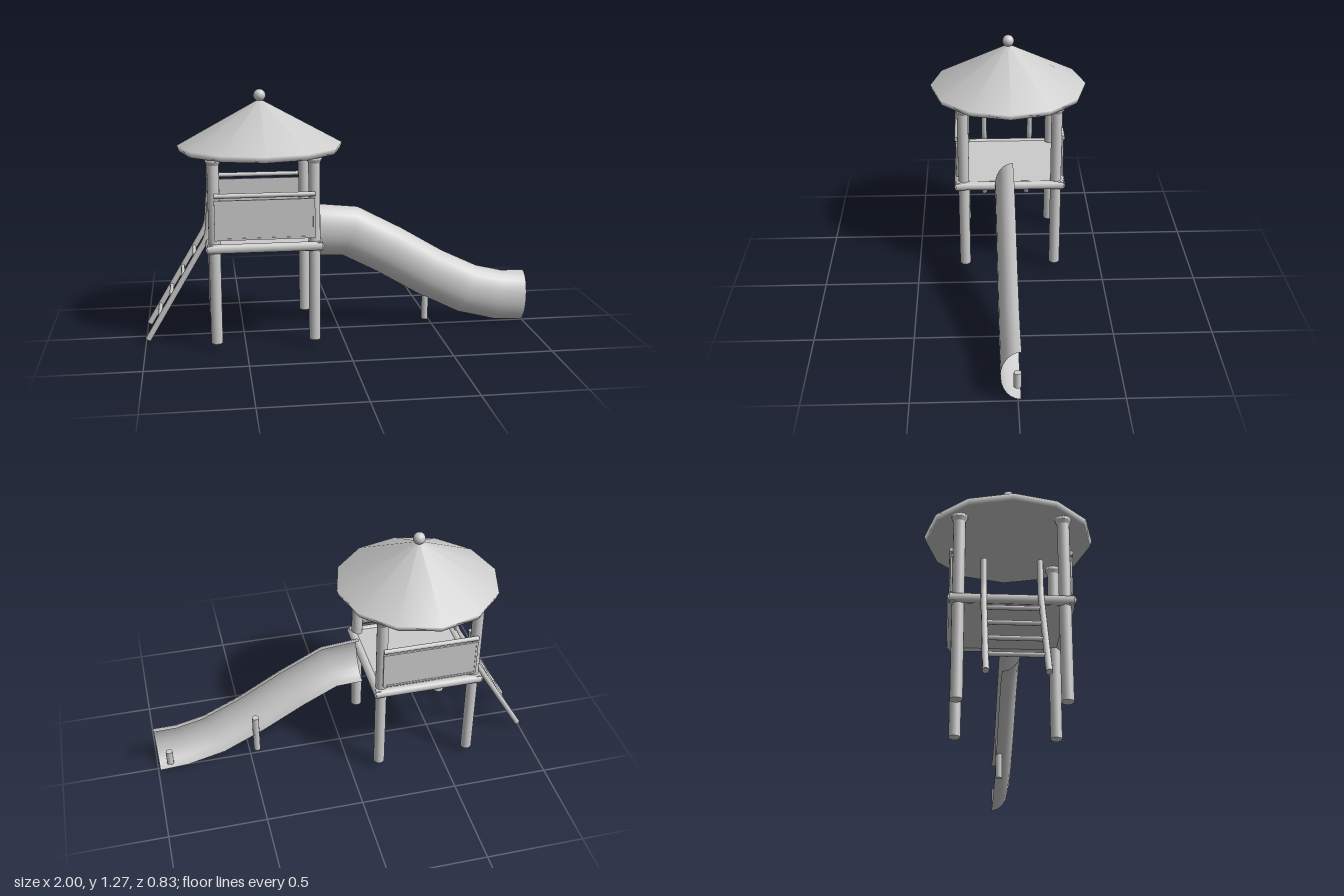
import * as THREE from 'three';

const grey = new THREE.MeshStandardMaterial({ color: 0xcccccc });
grey.name = 'light grey';
const greySheet = new THREE.MeshStandardMaterial({ color: 0xcccccc, side: THREE.DoubleSide });
greySheet.name = 'light grey sheet';

const CX = -0.4; // tower centre
const V = (x, y, z) => new THREE.Vector3(x, y, z);

function add(parent, name, geometry, x = 0, y = 0, z = 0, material = grey) {
  const mesh = new THREE.Mesh(geometry, material);
  mesh.name = name;
  mesh.position.set(x, y, z);
  parent.add(mesh);
  return mesh;
}

// Round bar between two points
function bar(parent, name, a, b, r, sides = 12) {
  const mesh = add(parent, name, new THREE.CylinderGeometry(r, r, a.distanceTo(b), sides));
  mesh.position.copy(a).add(b).multiplyScalar(0.5);
  mesh.quaternion.setFromUnitVectors(V(0, 1, 0), b.clone().sub(a).normalize());
  return mesh;
}

const lathe = (pts, n) => new THREE.LatheGeometry(pts.map(p => new THREE.Vector2(p[0], p[1])), n);

// Open half pipe lofted through [top x, top y, bottom x, bottom y] sections
function slideGeometry() {
  const sections = [
    [-0.1, 0.67, -0.12, 0.4], [0.1, 0.65, 0.02, 0.393], [0.33, 0.53, 0.2, 0.3],
    [0.55, 0.4, 0.42, 0.17], [0.74, 0.31, 0.64, 0.06], [0.88, 0.277, 0.84, 0.01],
    [1, 0.275, 0.99, 0],
  ];
  const n = 12, pos = [], index = [];
  sections.forEach(([tx, ty, bx, by], i) => {
    for (let j = 0; j <= n; j++) {
      const a = Math.PI * j / n, t = (1 - Math.cos(a)) / 2;
      pos.push(tx + (bx - tx) * t, ty + (by - ty) * t, -0.015 + 0.096 * Math.sin(a));
      if (i && j) {
        const d = i * (n + 1) + j, c = d - 1, b = d - n - 1, a0 = b - 1;
        index.push(a0, b, d, a0, d, c);
      }
    }
  });
  const g = new THREE.BufferGeometry();
  g.setAttribute('position', new THREE.Float32BufferAttribute(pos, 3));
  g.setIndex(index);
  g.computeVertexNormals();
  return g;
}

export function createModel() {
  const model = new THREE.Group();
  model.name = 'playTower';

  // Corner posts with flared capitals
  const post = lathe([[0, 0.03], [0.024, 0.03], [0.029, 0.036], [0.029, 0.036], [0.029, 0.932], [0.029, 0.932],
    [0.038, 0.95], [0.038, 0.95], [0.038, 0.964], [0, 0.964]], 16);
  for (const sx of [-1, 1]) for (const sz of [-1, 1])
    add(model, 'cornerPost', post, CX + sx * 0.245, 0, sz * 0.245);

  // Twelve-sided roof and ball finial
  add(model, 'roof', lathe([[0, 0.963], [0.406, 0.963], [0.416, 0.993], [0, 1.22]], 12), CX);
  add(model, 'finial', new THREE.SphereGeometry(0.031, 20, 14), CX, 1.237, 0);

  // Deck with edge beams
  add(model, 'deck', new THREE.BoxGeometry(0.54, 0.03, 0.54), CX, 0.522, 0);
  for (const s of [-1, 1]) {
    bar(model, 'deckBeam', V(CX - 0.28, 0.521, s * 0.271), V(CX + 0.28, 0.521, s * 0.271), 0.024, 8);
    bar(model, 'deckBeam', V(CX + s * 0.266, 0.521, -0.285), V(CX + s * 0.266, 0.521, 0.285), 0.024, 8);
  }

  // Framed side panels and handrails, front and back
  for (const s of [-1, 1]) {
    const z = s * 0.278;
    add(model, 'sidePanel', new THREE.BoxGeometry(0.476, 0.18, 0.005), CX, 0.664, z);
    for (const y of [0.57, 0.758])
      add(model, 'panelFrame', new THREE.BoxGeometry(0.488, 0.01, 0.01), CX, y, z);
    for (const x of [-0.24, 0.24])
      add(model, 'panelFrame', new THREE.BoxGeometry(0.01, 0.198, 0.01), CX + x, 0.664, z);
    bar(model, 'handrail', V(CX - 0.245, 0.785, z), V(CX + 0.245, 0.785, z), 0.012);
  }

  // Ladder with bent side rails
  const ladder = new THREE.Group();
  ladder.name = 'ladder';
  model.add(ladder);
  for (const s of [-1, 1]) {
    const z = s * 0.13, path = new THREE.CurvePath();
    const foot = V(-0.988, 0.028, z), low = V(-0.702, 0.51, z), high = V(-0.676, 0.58, z);
    path.add(new THREE.LineCurve3(foot, low));
    path.add(new THREE.QuadraticBezierCurve3(low, V(-0.683, 0.542, z), high));
    path.add(new THREE.LineCurve3(high, V(-0.664, 0.724, z)));
    add(ladder, 'ladderRail', new THREE.TubeGeometry(path, 40, 0.015, 10));
    for (const [p, flip] of [[foot, -1], [V(-0.664, 0.724, z), 1]]) {
      const cap = add(ladder, 'railEnd', new THREE.CircleGeometry(0.015, 10), p.x, p.y, p.z, greySheet);
      const dir = flip < 0 ? foot.clone().sub(low) : p.clone().sub(high);
      cap.quaternion.setFromUnitVectors(V(0, 0, 1), dir.normalize());
    }
  }
  for (const y of [0.13, 0.233, 0.335, 0.438]) {
    const x = -0.988 + (y - 0.028) * 0.593;
    bar(ladder, 'rung', V(x, y, -0.13), V(x, y, 0.13), 0.011, 10);
  }

  // Half-pipe slide and its two short supports
  add(model, 'slide', slideGeometry(), 0, 0, 0, greySheet);
  bar(model, 'slideSupport', V(0.462, 0.03, 0), V(0.462, 0.25, 0), 0.018);
  bar(model, 'slideSupport', V(0.932, 0.03, 0), V(0.932, 0.11, 0), 0.018);

  return model;
}
